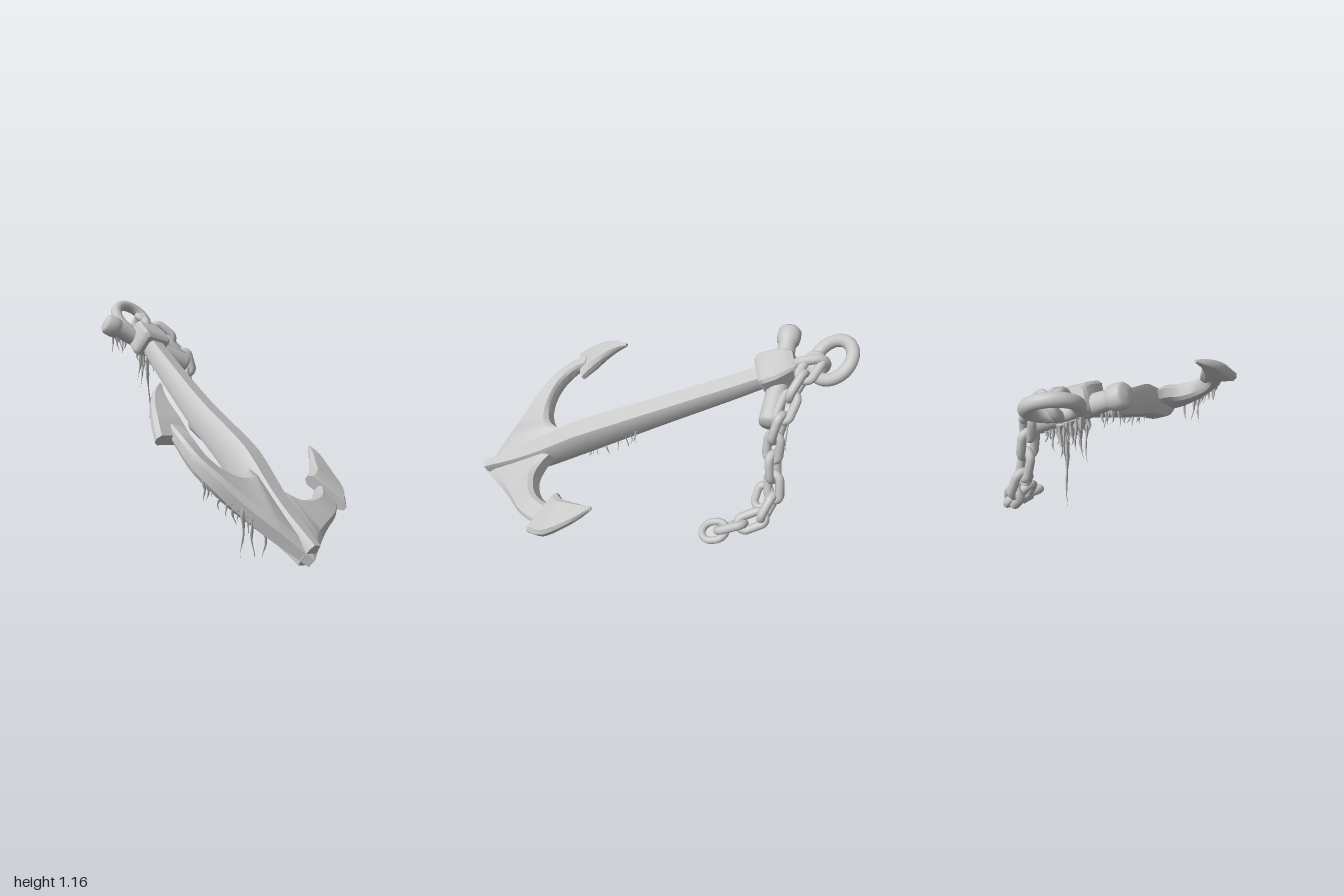
import * as THREE from 'three';
import { mergeGeometries, toCreasedNormals } from 'three/addons/utils/BufferGeometryUtils.js';

const V = (x, y, z) => new THREE.Vector3(x, y, z);
const iron = new THREE.MeshStandardMaterial({ color: 0xc6c6c6 });
iron.name = 'weathered grey iron';

// Anchor frame: along the shank, across the arms, and out of the broad face
const along = V(0.363, 0.459, -0.811).normalize();
const across = V(0.919, -0.318, 0.231).normalize();
const face = V(0.152, 0.829, 0.537).normalize();
const head = V(0.29, 0.94, -0.63);

// Small seeded random numbers for the ragged growth
let seed = 7;
const rand = () => (seed = (seed * 16807) % 2147483647) / 2147483647;

// Loft a chamfered-box section through stations of [outer edge, inner edge, half thickness]
function loft(stations, { chamferW = 0.72, chamferT = 0.55, steps = 6, crease = 0.6 } = {}) {
  const outer = new THREE.CatmullRomCurve3(stations.map(s => V(...s[0])));
  const inner = new THREE.CatmullRomCurve3(stations.map(s => V(...s[1])));
  const ring = [[1, chamferT], [chamferW, 1], [-chamferW, 1], [-1, chamferT],
    [-1, -chamferT], [-chamferW, -1], [chamferW, -1], [1, -chamferT]];
  const rows = (stations.length - 1) * steps, pos = [], index = [];
  for (let i = 0; i <= rows; i++) {
    const u = i / rows, k = Math.min(Math.floor(i / steps), stations.length - 2);
    const thick = THREE.MathUtils.lerp(stations[k][2], stations[k + 1][2], i / steps - k);
    const a = outer.getPoint(u), b = inner.getPoint(u);
    const mid = a.clone().add(b).multiplyScalar(0.5), w = b.sub(a).multiplyScalar(0.5);
    const wn = w.clone().normalize();
    const n = face.clone().addScaledVector(wn, -face.dot(wn)).normalize();
    for (const [p, q] of ring) pos.push(...mid.clone().addScaledVector(w, p).addScaledVector(n, q * thick));
  }
  for (let i = 0; i < rows; i++) for (let j = 0; j < 8; j++) {
    const a = i * 8 + j, b = i * 8 + (j + 1) % 8;
    index.push(a, b, b + 8, a, b + 8, a + 8);
  }
  for (let j = 1; j < 7; j++) index.push(0, j + 1, j, rows * 8, rows * 8 + j, rows * 8 + j + 1);
  // Turn the corners outwards when the signed volume is negative
  let volume = 0;
  const at = i => V(pos[i * 3], pos[i * 3 + 1], pos[i * 3 + 2]);
  for (let i = 0; i < index.length; i += 3) volume += at(index[i]).dot(at(index[i + 1]).cross(at(index[i + 2])));
  if (volume < 0) index.reverse();
  const g = new THREE.BufferGeometry();
  g.setAttribute('position', new THREE.Float32BufferAttribute(pos, 3));
  g.setIndex(index);
  return toCreasedNormals(g, crease);
}

// Station centred on a point, with half width across and half thickness
const station = (c, w, t) => [
  c.clone().addScaledVector(across, -w).toArray(), c.clone().addScaledVector(across, w).toArray(), t];

// Oval chain link: a torus pulled apart along y
function linkGeometry(radius, tube, stretch) {
  const g = new THREE.TorusGeometry(radius, tube, 10, 24);
  g.rotateZ(Math.PI / 24);
  const p = g.attributes.position;
  for (let i = 0; i < p.count; i++) p.setY(i, p.getY(i) + Math.sign(p.getY(i)) * stretch);
  return g;
}

// Place a geometry with its y axis along dir and its z axis near normal
function orient(g, centre, dir, normal) {
  const y = dir.clone().normalize();
  const z = normal.clone().addScaledVector(y, -normal.dot(y)).normalize();
  const x = y.clone().cross(z);
  return g.applyMatrix4(new THREE.Matrix4().makeBasis(x, y, z).setPosition(centre));
}

// One limp strand hanging from a point
function strand(top, length, width) {
  const g = new THREE.ConeGeometry(width, length, 5, 6);
  g.rotateX(Math.PI);
  g.scale(1, 1, 0.6);
  g.translate(0, -length / 2, 0);
  const p = g.attributes.position, a = rand() * 6, b = rand() * 6;
  for (let i = 0; i < p.count; i++) {
    const s = -p.getY(i) / length;
    const fat = 1 + 0.35 * Math.sin(s * 14 + a);
    p.setXYZ(i, p.getX(i) * fat + 0.012 * Math.sin(s * 5 + a) * s, p.getY(i),
      p.getZ(i) * fat + 0.012 * Math.sin(s * 6 + b) * s);
  }
  g.computeVertexNormals();
  return g.translate(...top);
}

export function createModel() {
  const model = new THREE.Group();
  model.name = 'anchor';
  const add = (name, geometry) => {
    const m = new THREE.Mesh(geometry, iron);
    m.name = name;
    model.add(m);
  };

  // Shank, thickening towards the crown, with a blunt lower tip
  add('shank', loft([
    station(V(-0.425, 0.07, 0.965), 0.032, 0.07),
    station(V(-0.31, 0.195, 0.7), 0.065, 0.092),
    station(V(-0.16, 0.39, 0.4), 0.076, 0.098),
    station(V(0, 0.588, 0), 0.067, 0.078),
    station(V(0.23, 0.86, -0.5), 0.058, 0.055),
    station(head, 0.058, 0.055)]));

  // Arms sweep around the crotch from the crown to the flukes
  add('rightArm', loft([
    [[-0.435, 0.035, 0.985], [-0.24, 0.375, 0.47], 0.045],
    [[-0.52, 0.17, 0.82], [-0.32, 0.37, 0.53], 0.06],
    [[-0.6, 0.31, 0.66], [-0.42, 0.365, 0.545], 0.056],
    [[-0.65, 0.42, 0.55], [-0.525, 0.41, 0.51], 0.05],
    [[-0.67, 0.51, 0.44], [-0.58, 0.49, 0.44], 0.044],
    [[-0.645, 0.61, 0.31], [-0.57, 0.59, 0.34], 0.036],
    [[-0.61, 0.65, 0.24], [-0.56, 0.63, 0.27], 0.025]]));
  add('leftArm', loft([
    [[-0.435, 0.035, 0.985], [-0.18, 0.33, 0.52], 0.045],
    [[-0.28, 0.045, 0.93], [-0.17, 0.245, 0.635], 0.06],
    [[-0.1, 0.06, 0.88], [-0.11, 0.195, 0.715], 0.056],
    [[0.06, 0.08, 0.85], [0.04, 0.18, 0.74], 0.05],
    [[0.19, 0.11, 0.8], [0.17, 0.195, 0.69], 0.04],
    [[0.25, 0.155, 0.75], [0.23, 0.225, 0.66], 0.025]]));

  // Barbed flukes, curving to a point
  const blade = { chamferW: 0.8, chamferT: 0.4 };
  add('rightFluke', loft([
    [[-0.73, 0.61, 0.255], [-0.51, 0.575, 0.31], 0.032],
    [[-0.665, 0.68, 0.18], [-0.5, 0.65, 0.23], 0.038],
    [[-0.59, 0.75, 0.11], [-0.485, 0.72, 0.15], 0.03],
    [[-0.5, 0.8, 0.06], [-0.455, 0.775, 0.085], 0.021],
    [[-0.425, 0.825, 0.035], [-0.415, 0.815, 0.045], 0.008]], blade));
  add('leftFluke', loft([
    [[0.23, 0.09, 0.85], [0.15, 0.26, 0.64], 0.032],
    [[0.33, 0.135, 0.78], [0.22, 0.275, 0.63], 0.038],
    [[0.39, 0.22, 0.67], [0.29, 0.3, 0.59], 0.03],
    [[0.425, 0.3, 0.58], [0.36, 0.33, 0.55], 0.021],
    [[0.435, 0.36, 0.51], [0.42, 0.352, 0.505], 0.008]], blade));

  // Head block, narrowing towards the ring
  add('headBlock', loft([[-0.11, 0.085, 0.07], [-0.08, 0.106, 0.088], [0.06, 0.088, 0.078], [0.105, 0.062, 0.055]]
    .map(([s, w, t]) => station(head.clone().addScaledVector(along, s), w, t)),
  { chamferW: 0.85, chamferT: 0.8, steps: 2 }));

  // Stock: a drum-shaped knob on the right end, a plain blunt left end
  const stockA = V(0.07, 1.055, -0.8), stockB = V(0.52, 0.75, -0.48);
  const stockDir = stockB.clone().sub(stockA), half = stockDir.length() / 2;
  const profile = [[0, -half], [0.05, -half + 0.004], [0.064, -half + 0.02], [0.068, -half + 0.06],
    [0.063, -half + 0.095], [0.05, -half + 0.11], [0.055, -0.1], [0.06, 0.1],
    [0.064, half - 0.03], [0.055, half - 0.006], [0, half]];
  const stock = new THREE.LatheGeometry(profile.map(([r, y]) => new THREE.Vector2(r, y)), 20);
  add('stock', orient(stock, stockA.clone().add(stockB).multiplyScalar(0.5), stockDir, face));

  // Large ring and the shackle that holds it
  add('ring', orient(new THREE.TorusGeometry(0.122, 0.036, 14, 40), V(0.425, 1.04, -0.875), V(0, 1, -1), V(0, 0.7, 0.7)));
  add('shackle', orient(linkGeometry(0.055, 0.029, 0.03), V(0.385, 1.0, -0.765), V(0.5, 0.35, -0.8), across));

  // Chain draped over the stock and hanging down
  const path = new THREE.CatmullRomCurve3([V(0.43, 1.02, -0.74), V(0.485, 0.93, -0.63), V(0.55, 0.79, -0.53),
    V(0.56, 0.64, -0.5), V(0.59, 0.48, -0.5), V(0.635, 0.34, -0.49), V(0.67, 0.25, -0.42),
    V(0.655, 0.2, -0.33), V(0.625, 0.165, -0.25)]);
  const links = [], count = 10;
  for (let i = 0; i < count; i++) {
    const u = i / (count - 1), t = path.getTangentAt(u);
    const side = V(0.8, 0.1, 0.6).addScaledVector(t, -V(0.8, 0.1, 0.6).dot(t)).normalize();
    const normal = side.applyAxisAngle(t, (i % 2) * Math.PI / 2 + 0.4);
    links.push(orient(linkGeometry(0.04, 0.025, 0.04), path.getPointAt(u), t, normal));
  }
  // Slack link beside the bend, and the round end link
  links.push(orient(linkGeometry(0.036, 0.023, 0.03), V(0.59, 0.31, -0.45), V(0.3, -0.8, 0.4), V(0.5, 0.4, 0.6)));
  links.push(orient(linkGeometry(0.065, 0.021, 0.008), V(0.59, 0.125, -0.165), V(-0.5, -0.3, 0.8), V(0, 0.93, 0.36)));
  add('chain', mergeGeometries(links));

  // Hanging growth: [start, end, strands, shortest, longest]
  const fringes = [
    [V(0.11, 0.99, -0.77), V(0.19, 0.96, -0.73), 6, 0.06, 0.14],
    [V(0.25, 0.88, -0.68), V(0.47, 0.74, -0.56), 13, 0.06, 0.15],
    [V(0.28, 0.9, -0.7), V(0.4, 0.85, -0.7), 7, 0.12, 0.26],
    [V(-0.19, 0.32, 0.46), V(0.02, 0.5, 0.1), 14, 0.05, 0.14],
    [V(-0.66, 0.46, 0.48), V(-0.55, 0.22, 0.74), 9, 0.05, 0.14],
    [V(-0.3, 0.06, 0.9), V(0.12, 0.1, 0.82), 5, 0.03, 0.06]];
  const strands = [];
  for (const [a, b, n, min, max] of fringes) for (let i = 0; i < n; i++) {
    const top = a.clone().lerp(b, (i + 0.6 * rand()) / n);
    strands.push(strand(top, min + (max - min) * rand(), 0.011 + 0.008 * rand()));
  }
  // A few long single strands
  strands.push(strand(V(0.365, 0.82, -0.69), 0.47, 0.016), strand(V(0.26, 0.88, -0.66), 0.28, 0.013),
    strand(V(-0.59, 0.3, 0.68), 0.26, 0.016), strand(V(-0.56, 0.25, 0.72), 0.22, 0.014),
    strand(V(-0.51, 0.2, 0.76), 0.18, 0.016));
  add('hangingGrowth', mergeGeometries(strands));
  return model;
}
